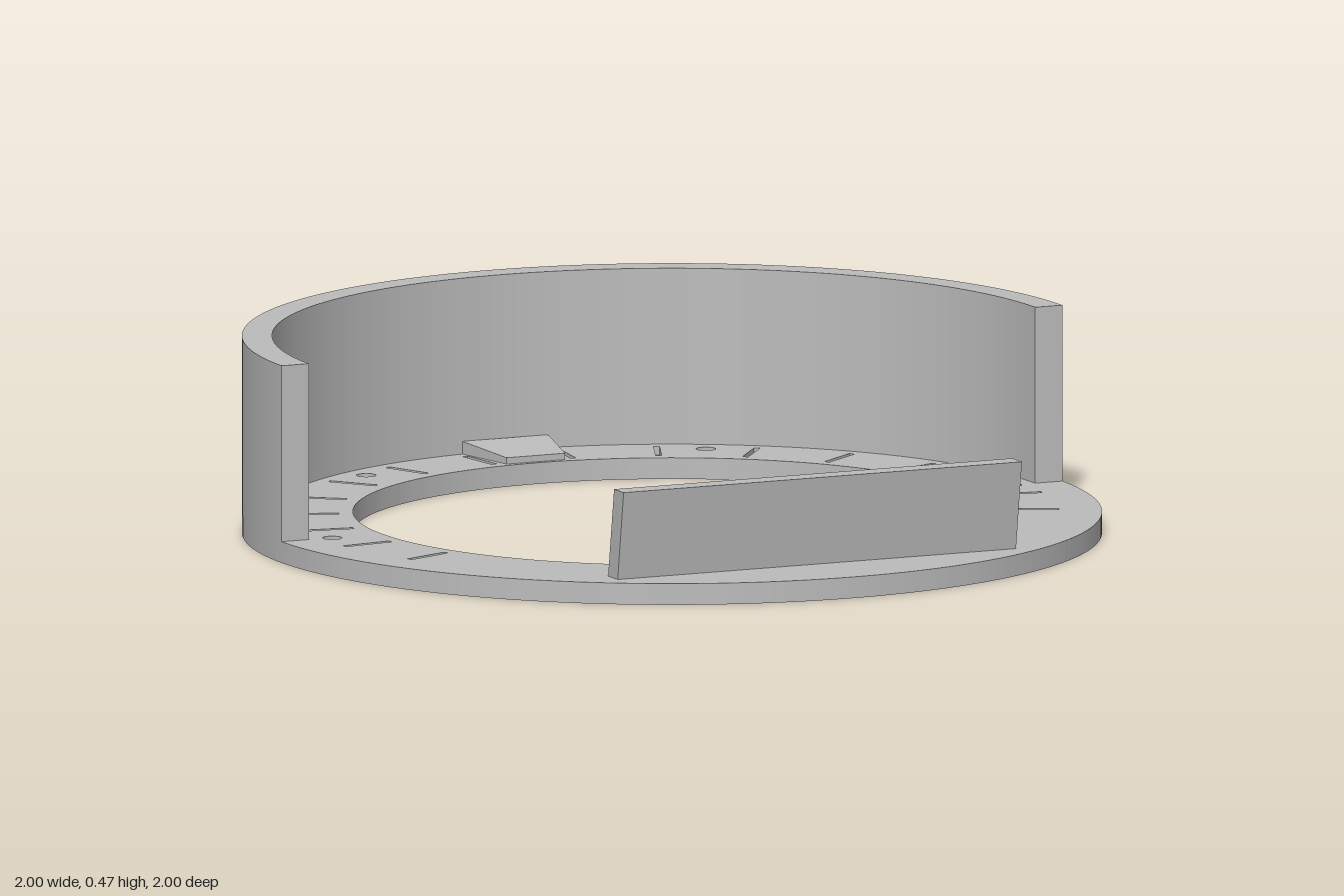
import * as THREE from 'three';

const BASE = 0.05, INNER = 0.742, BOLT_R = 0.87, HOLE = 0.023;
const rad = THREE.MathUtils.degToRad;

// Extrudes a plan (drawn with its y axis pointing to the back) upward from y0 to y1.
function raise(shape, y0, y1, steps = 1) {
  const g = new THREE.ExtrudeGeometry(shape, { depth: y1 - y0, steps, bevelEnabled: false, curveSegments: 96 });
  g.rotateX(-Math.PI / 2);
  g.translate(0, y0, 0);
  return g;
}

// Annulus with six bolt holes, optionally cut by the radial slots.
function ringPlan(withSlots) {
  const s = new THREE.Shape().absarc(0, 0, 1, 0, Math.PI * 2);
  s.holes.push(new THREE.Path().absarc(0, 0, INNER, 0, Math.PI * 2, true));
  for (let i = 0; i < 6; i++) {
    const a = i * Math.PI / 3, pts = [];
    for (let k = 0; k < 20; k++) {
      const b = k * Math.PI / 10;
      pts.push(new THREE.Vector2(BOLT_R * Math.cos(a) + HOLE * Math.cos(b), BOLT_R * Math.sin(a) + HOLE * Math.sin(b)));
    }
    s.holes.push(new THREE.Path(pts));
  }
  if (withSlots) {
    for (let i = 0; i < 8; i++) for (const side of [-1, 1]) {
      const a = Math.PI / 2 - side * rad(7.5 + 15 * i);
      const corners = [[0.775, -0.007], [0.9, -0.007], [0.9, 0.007], [0.775, 0.007]];
      s.holes.push(new THREE.Path(corners.map(([r, w]) => new THREE.Vector2(r, w).rotateAround(new THREE.Vector2(), a))));
    }
  }
  return s;
}

// Leaning panel, its rear face notched where the bolt holes run up through it.
function panelGeometry() {
  const half = 0.51, top = 0.26, boltX = BOLT_R / 2, boltZ = BOLT_R * Math.sin(Math.PI / 3);
  const xs = [-half];
  for (const c of [-boltX, boltX]) for (let k = 0; k <= 12; k++) xs.push(c - HOLE * Math.cos(k * Math.PI / 12));
  xs.push(half);
  const s = new THREE.Shape();
  s.moveTo(half, -0.803);
  s.lineTo(-half, -0.803);
  const notch = x => {
    const d = Math.abs(Math.abs(x) - boltX);
    return d < HOLE ? boltZ + Math.sqrt(HOLE * HOLE - d * d) : 0;
  };
  xs.forEach(x => s.lineTo(x, -Math.max(0.75, notch(x))));
  const g = raise(s, BASE, top, 20), p = g.attributes.position;
  for (let i = 0; i < p.count; i++) {
    const lean = 0.033 * (p.getY(i) - BASE) / (top - BASE);
    const front = p.getZ(i) > 0.79;
    p.setZ(i, front ? 0.803 + lean : Math.max(0.75 + lean, notch(p.getX(i))));
  }
  g.computeVertexNormals();
  return g;
}

// Small tapered tab, thicker toward the wall.
function tabGeometry() {
  const s = new THREE.Shape();
  s.moveTo(-0.075, 0.755);
  s.lineTo(0.075, 0.755);
  s.lineTo(0.11, 0.925);
  s.lineTo(-0.11, 0.925);
  const g = raise(s, BASE, BASE + 0.03), p = g.attributes.position;
  for (let i = 0; i < p.count; i++) {
    if (p.getY(i) > BASE + 0.01 && p.getZ(i) > -0.8) p.setY(i, BASE + 0.015);
  }
  g.computeVertexNormals();
  return g;
}

export function createModel() {
  const model = new THREE.Group();
  const grey = new THREE.MeshStandardMaterial({ color: 0xbcbcbc });
  grey.name = 'plain grey';
  const add = (name, geometry) => {
    const m = new THREE.Mesh(geometry, grey);
    m.name = name;
    model.add(m);
  };

  // Base ring in two layers, so the slots are shallow grooves
  add('baseRingLower', raise(ringPlan(false), 0, 0.03));
  add('baseRingSlotted', raise(ringPlan(true), 0.03, BASE));

  // Half-round wall along the back
  const wall = new THREE.Shape();
  wall.absarc(0, 0, 1, 0, Math.PI, false);
  wall.absarc(0, 0, 0.93, Math.PI, 0, true);
  add('backWall', raise(wall, BASE, 0.465));

  add('frontPanel', panelGeometry());
  add('backTab', tabGeometry());
  return model;
}
